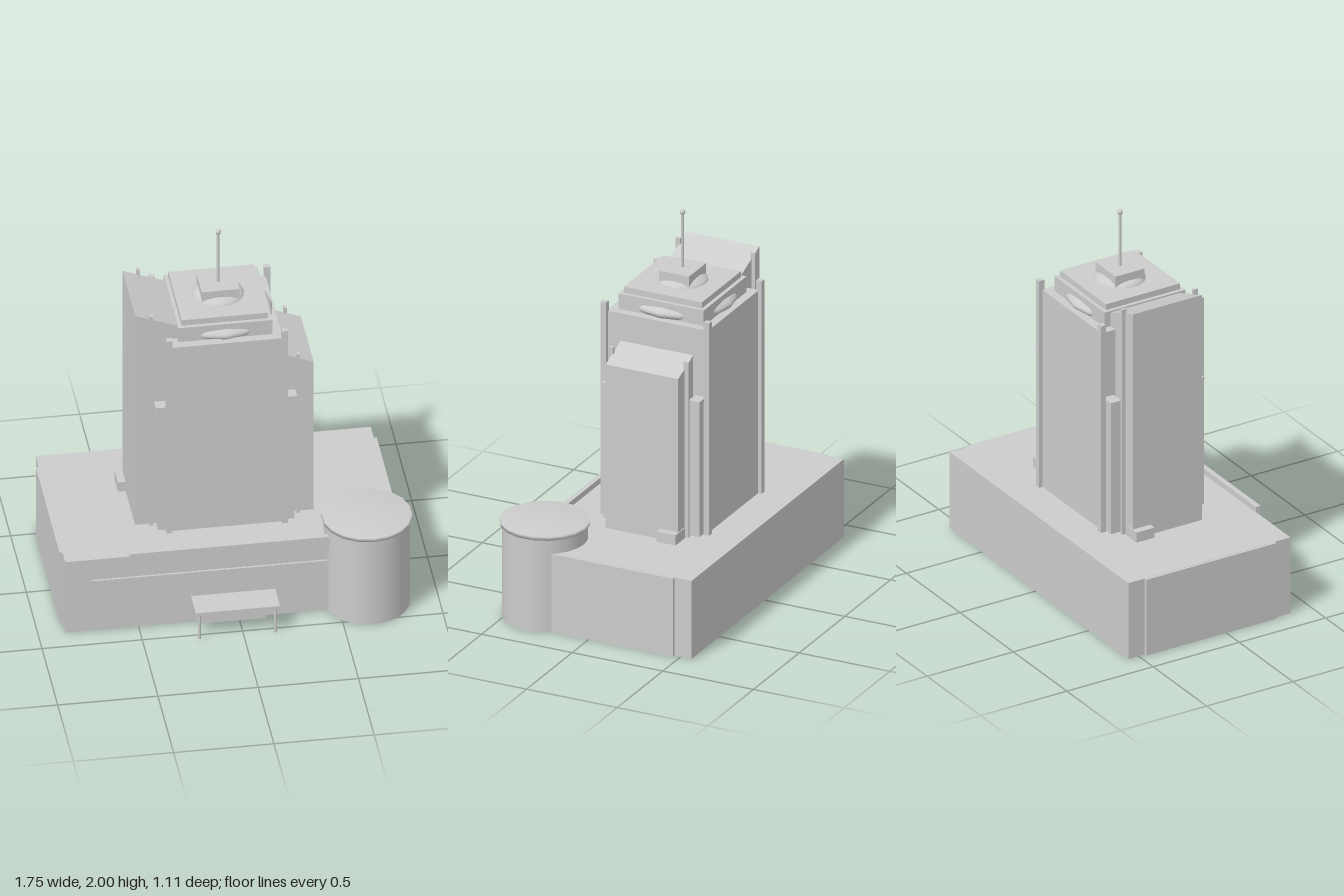
import * as THREE from 'three';
import { mergeVertices } from 'three/addons/utils/BufferGeometryUtils.js';

export function createModel() {
  const root = new THREE.Group();
  root.name = 'officeTower';
  const grey = new THREE.MeshStandardMaterial({ color: 0xcccccc });
  grey.name = 'concreteGrey';

  const add = (name, geo, x = 0, y = 0, z = 0, parent = root) => {
    const mesh = new THREE.Mesh(geo, grey);
    mesh.name = name;
    mesh.position.set(x, y, z);
    parent.add(mesh);
    return mesh;
  };
  // box given by its limits on each axis
  const box = (name, x0, x1, y0, y1, z0, z1, parent = root) =>
    add(name, new THREE.BoxGeometry(x1 - x0, y1 - y0, z1 - z0),
      (x0 + x1) / 2, (y0 + y1) / 2, (z0 + z1) / 2, parent);
  const rod = (name, r, y0, y1, x, z, sides = 12, parent = root) =>
    add(name, new THREE.CylinderGeometry(r, r, y1 - y0, sides), x, (y0 + y1) / 2, z, parent);
  const dome = (name, r, ry, y, parent) => {
    const g = new THREE.SphereGeometry(r, 16, 16);
    g.scale(1, ry / r, 1);
    return add(name, g, 0, y, 0, parent);
  };

  // podium with slightly proud end panels
  box('podium', -0.865, 0.805, 0, 0.42, -0.56, 0.38);
  box('podiumEndPanels', -0.88, 0.82, 0, 0.419, -0.465, 0.29);

  // shop front, sign ledge and entrance
  box('frontPanel', -0.735, 0.455, 0.015, 0.3, 0.37, 0.391);
  box('frontLedge', -0.545, 0.455, 0.36, 0.45, 0.378, 0.405);
  box('doorway', -0.18, 0.13, 0, 0.145, 0.37, 0.405);
  box('canopy', -0.24, 0.18, 0.143, 0.16, 0.38, 0.545);
  for (const x of [-0.22, 0.16]) rod('canopyPost', 0.008, 0, 0.145, x, 0.53);

  // round corner drum with a thin soft-edged lid
  rod('cornerDrum', 0.213, 0, 0.5, 0.647, 0.328, 32);
  let lid = new THREE.CylinderGeometry(0.223, 0.223, 0.02, 18);
  lid.deleteAttribute('normal');
  lid.deleteAttribute('uv');
  lid = mergeVertices(lid);
  lid.computeVertexNormals();
  add('drumLid', lid, 0.647, 0.506, 0.328);

  // tower, built around its own axis
  const tower = new THREE.Group();
  tower.name = 'tower';
  tower.position.set(-0.03, 0, -0.09);
  root.add(tower);
  box('towerShaft', -0.28, 0.28, 0.41, 1.51, -0.28, 0.28, tower);

  // wings with sloping roofs
  const wing = (name, points) => {
    const g = new THREE.ExtrudeGeometry(
      new THREE.Shape(points.map(([x, y]) => new THREE.Vector2(x, y))),
      { depth: 0.4, bevelEnabled: false });
    add(name, g, 0, 0, -0.2, tower);
  };
  wing('rightWing', [[-0.445, 0.41], [-0.23, 0.41], [-0.23, 1.583], [-0.445, 1.665]]);
  wing('leftWing', [[0.2, 0.41], [0.445, 0.41], [0.445, 1.3], [0.28, 1.363], [0.2, 1.363]]);

  // corner posts, capped piers, wing poles and rear blocks
  for (const sx of [-1, 1]) {
    const span = (name, x0, x1, y0, y1, z0, z1) => box(name,
      Math.min(sx * x0, sx * x1), Math.max(sx * x0, sx * x1), y0, y1, z0, z1, tower);
    for (const sz of [-1, 1]) {
      const corner = (name, x, z, w, d, y1, y0 = 0.41) => span(name, x - w / 2, x + w / 2,
        y0, y1, sz * z - d / 2, sz * z + d / 2);
      corner('cornerPost', 0.288, 0.284, 0.03, 0.03, 1.563);
      corner('pier', 0.3, 0.236, 0.08, 0.056, 1.14);
      corner('pierCap', 0.312, 0.241, 0.08, 0.06, 1.152, 1.137);
      corner('wingPole', 0.366, 0.207, 0.016, 0.026, sx < 0 ? 1.663 : 1.363);
    }
    span('rearBlock', 0.38, 0.484, 0.41, 0.475, -0.205, -0.1);
  }

  // stepped crown with bulging domes
  box('crownBase', -0.235, 0.235, 1.5, 1.593, -0.235, 0.235, tower);
  dome('crownBulge', 0.27, 0.06, 1.535, tower);
  box('crownSlab', -0.215, 0.215, 1.59, 1.625, -0.215, 0.215, tower);
  dome('roofDome', 0.13, 0.042, 1.62, tower);
  box('mastBase', -0.094, 0.094, 1.62, 1.69, -0.083, 0.083, tower);

  // mast
  rod('mast', 0.007, 1.68, 1.985, 0, 0, 12, tower);
  add('mastTip', new THREE.SphereGeometry(0.014, 14, 10), 0, 1.986, 0, tower);

  return root;
}
